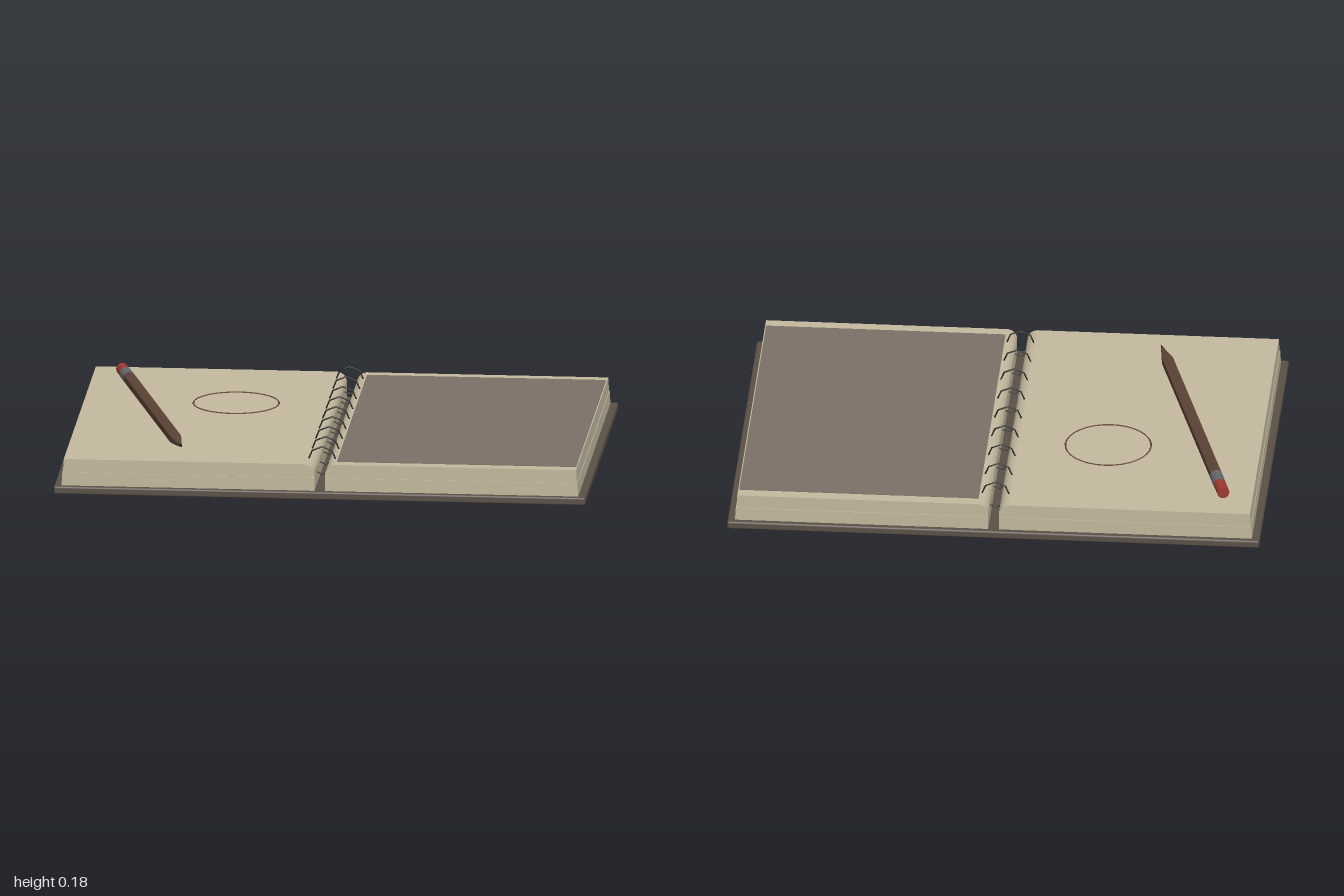
import * as THREE from 'three';
import { RoundedBoxGeometry } from 'three/addons/geometries/RoundedBoxGeometry.js';

const mat = (color, flatShading = false) => new THREE.MeshStandardMaterial({ color, flatShading });

function add(parent, name, geometry, material, x = 0, y = 0, z = 0) {
  const mesh = new THREE.Mesh(geometry, material);
  mesh.name = name;
  mesh.position.set(x, y, z);
  parent.add(mesh);
  return mesh;
}

// Extrudes an x/y outline along z, centred on z = 0
function slab(shape, depth) {
  const g = new THREE.ExtrudeGeometry(shape, { depth, bevelEnabled: false, curveSegments: 6 });
  return g.translate(0, 0, -depth / 2);
}

export function createModel() {
  const notebook = new THREE.Group();
  notebook.name = 'openNotebook';

  const coverMat = mat(0x5a5147);
  const paperMat = mat(0xc4b99f);
  const wireMat = mat(0x24211e);
  const shadeMat = mat(0x7c7167);
  const woodMat = mat(0x5d4536, true);

  // Cover board
  add(notebook, 'cover', new RoundedBoxGeometry(2, 0.03, 1.44, 2, 0.007), coverMat, 0, 0.015, 0);

  // Page blocks: a straight lower stack and an upper stack curling down to the spine
  for (const [side, s] of [['left', 1], ['right', -1]]) {
    const lower = new THREE.Shape();
    lower.moveTo(s * 0.02, 0.03);
    lower.lineTo(s * 0.972, 0.03);
    lower.lineTo(s * 0.969, 0.08);
    lower.lineTo(s * 0.02, 0.08);
    add(notebook, side + 'LowerPages', slab(lower, 1.4), paperMat);

    const upper = new THREE.Shape();
    upper.moveTo(s * 0.02, 0.08);
    upper.lineTo(s * 0.967, 0.08);
    upper.lineTo(s * 0.964, 0.131);
    upper.lineTo(s * 0.055, 0.131);
    upper.quadraticCurveTo(s * 0.027, 0.126, s * 0.02, 0.1);
    add(notebook, side + 'UpperPages', slab(upper, 1.392), paperMat);
  }

  // Dark sheet on the model's left page
  add(notebook, 'darkSheet', new THREE.BoxGeometry(0.9, 0.003, 1.3), shadeMat, 0.51, 0.1315, 0);

  // Binding rings
  const ringGeo = new THREE.TorusGeometry(0.053, 0.003, 6, 8);
  for (let i = 0; i < 9; i++) {
    add(notebook, 'bindingRing', ringGeo, wireMat, 0, 0.123, -0.6 + i * 0.15);
  }

  // Circle drawn on the model's right page
  const circle = new THREE.TorusGeometry(0.161, 0.003, 4, 32).rotateX(Math.PI / 2);
  add(notebook, 'drawnCircle', circle, mat(0x6b4f3e), -0.392, 0.132, -0.192);

  // Pencil, built along +z from the eraser end and then turned on the page
  const pencil = new THREE.Group();
  pencil.name = 'pencil';
  const section = (name, r0, r1, from, to, sides, material) => {
    const g = new THREE.CylinderGeometry(r1, r0, to - from, sides).rotateX(Math.PI / 2);
    add(pencil, name, g, material, 0, 0, (from + to) / 2);
  };
  section('eraser', 0.023, 0.023, 0, 0.07, 12, mat(0x9e3b32));
  section('ferrule', 0.024, 0.024, 0.07, 0.14, 12, mat(0x66696b));
  section('pencilBody', 0.024, 0.024, 0.14, 1.07, 6, woodMat);
  section('pencilPoint', 0.024, 0.006, 1.07, 1.165, 6, woodMat);
  section('pencilLead', 0.006, 0.0005, 1.165, 1.195, 6, wireMat);
  pencil.position.set(-0.855, 0.155, -0.578);
  pencil.rotation.y = Math.atan2(0.325, 1.15);
  notebook.add(pencil);

  return notebook;
}
